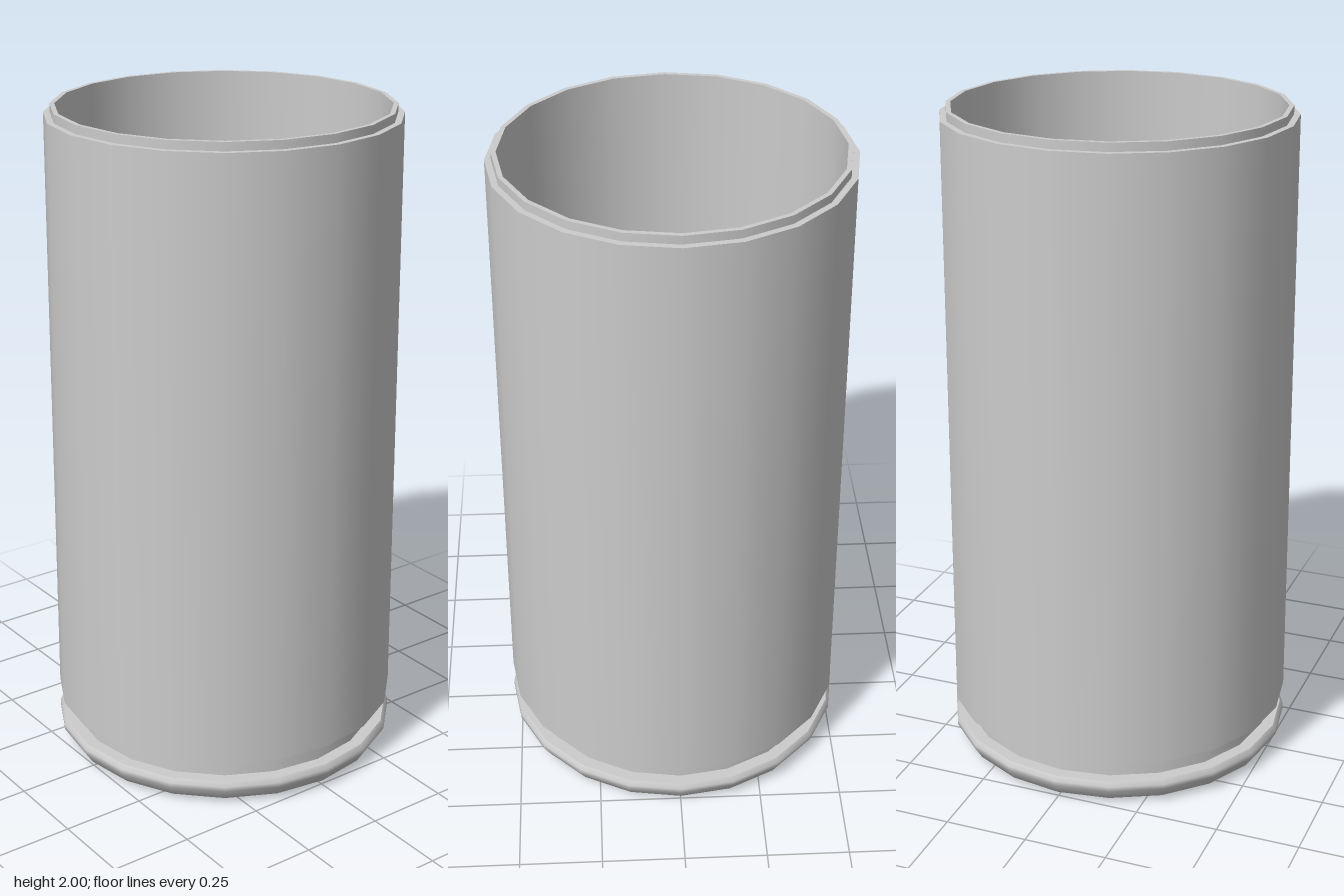
import * as THREE from 'three';

const SIDES = 20;

export function createModel() {
  const model = new THREE.Group();
  model.name = 'openCasing';
  const material = new THREE.MeshStandardMaterial({ color: 0xcccccc });

  // Each band is its own smooth lathe, so the edges between bands stay sharp
  const band = (name, ...profile) => {
    const points = profile.map(([r, y]) => new THREE.Vector2(r, y));
    const mesh = new THREE.Mesh(new THREE.LatheGeometry(points, SIDES), material);
    mesh.name = name;
    model.add(mesh);
  };

  // Base flange with a rounded lower edge
  band('base', [0, 0], [0.47, 0]);
  band('flangeSide', [0.47, 0], [0.505, 0.015], [0.527, 0.05], [0.527, 0.065], [0.517, 0.078]);
  band('flangeTop', [0.517, 0.078], [0.48, 0.078]);

  // Recessed groove
  band('groove', [0.48, 0.078], [0.48, 0.145]);
  band('grooveCeiling', [0.48, 0.145], [0.526, 0.145]);

  // Slightly tapered body and stepped lip
  band('body', [0.526, 0.145], [0.517, 1.975]);
  band('shoulder', [0.517, 1.975], [0.498, 1.975]);
  band('lip', [0.498, 1.975], [0.498, 2]);
  band('mouthRim', [0.498, 2], [0.484, 2]);

  // Hollow interior
  band('innerWall', [0.484, 2], [0.484, 0.16]);
  band('innerFloor', [0.484, 0.16], [0, 0.16]);

  return model;
}
